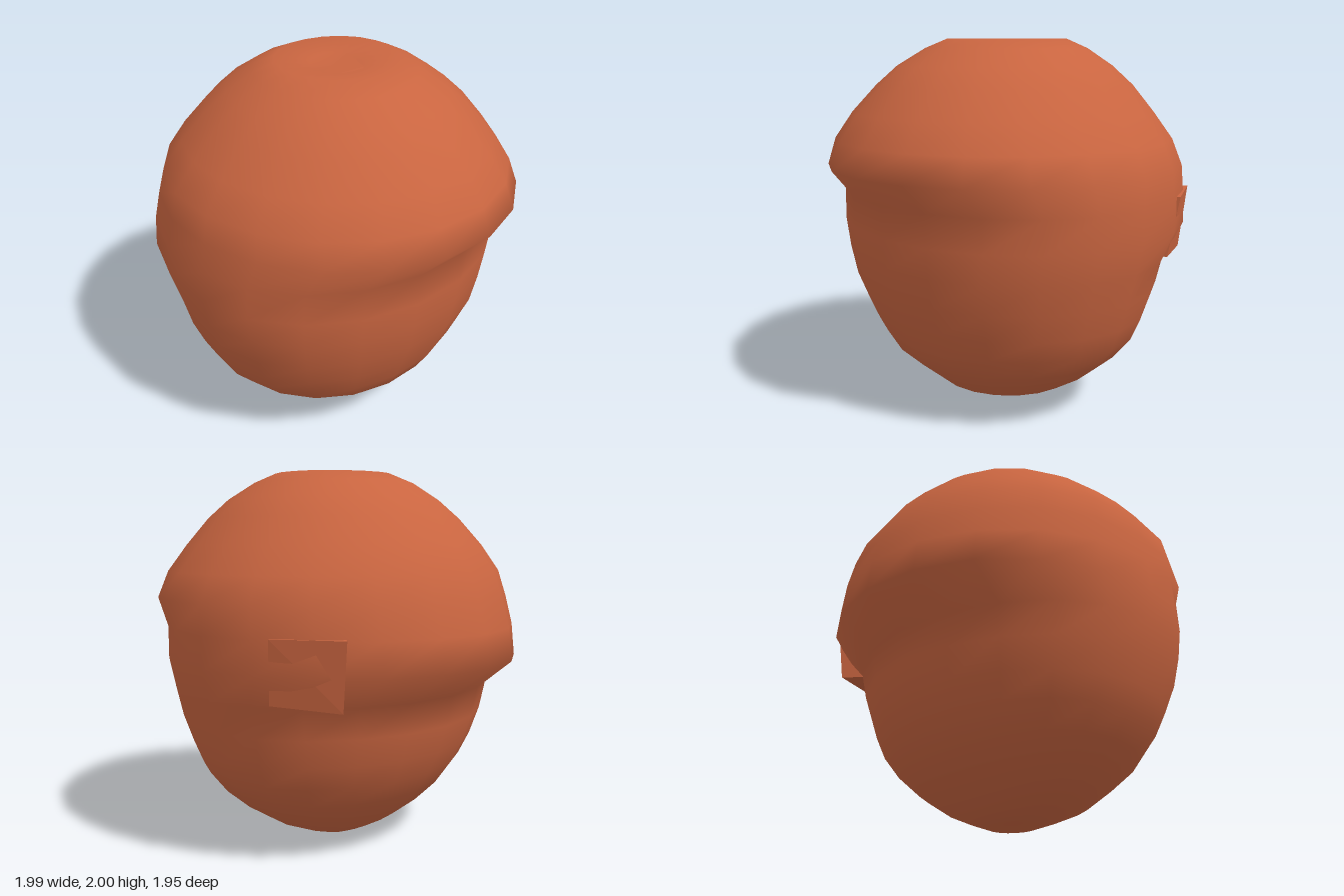
import * as THREE from 'three';
import { ConvexGeometry } from 'three/addons/geometries/ConvexGeometry.js';

// Cross-sections from bottom to top: [y, reach to +x, to -x, to +z, to -z].
// The overhanging rim sits higher on the +x side than on the -x side.
const SECTIONS = [
  [0.00, 0.13, 0.13, 0.15, 0.15],
  [0.04, 0.24, 0.22, 0.27, 0.26],
  [0.10, 0.38, 0.33, 0.42, 0.40],
  [0.20, 0.50, 0.46, 0.57, 0.56],
  [0.31, 0.62, 0.57, 0.70, 0.69],
  [0.43, 0.69, 0.65, 0.80, 0.79],
  [0.55, 0.74, 0.71, 0.86, 0.84],
  [0.70, 0.80, 0.76, 0.92, 0.89],
  [0.86, 0.83, 0.79, 0.96, 0.93],
  [1.02, 0.85, 1.00, 0.98, 0.97],
  [1.19, 0.85, 0.98, 0.97, 0.97],
  [1.34, 0.99, 0.94, 0.94, 0.97],
  [1.48, 0.94, 0.89, 0.91, 0.91],
  [1.62, 0.85, 0.80, 0.80, 0.80],
  [1.76, 0.72, 0.68, 0.67, 0.69],
  [1.86, 0.61, 0.57, 0.55, 0.58],
  [1.95, 0.45, 0.43, 0.42, 0.45],
  [2.00, 0.33, 0.31, 0.30, 0.34],
  [1.985, 0.13, 0.11, 0.14, 0.12],
];
const SIDES = 20;

// Point on a section made of four quarter ellipses
function sectionPoint([y, px, nx, pz, nz], angle) {
  const c = Math.cos(angle), s = Math.sin(angle);
  return new THREE.Vector3(c * (c > 0 ? px : nx), y, s * (s > 0 ? pz : nz));
}

function bodyGeometry() {
  const points = [], index = [];
  for (const section of SECTIONS) {
    for (let i = 0; i < SIDES; i++) points.push(sectionPoint(section, (i / SIDES) * Math.PI * 2));
  }
  const last = (SECTIONS.length - 1) * SIDES;
  const bottom = points.push(new THREE.Vector3(0, 0.03, 0)) - 1;
  const top = points.push(new THREE.Vector3(0, 1.96, 0)) - 1;
  for (let i = 0; i < SIDES; i++) {
    const n = (i + 1) % SIDES;
    for (let r = 0; r < last; r += SIDES) {
      index.push(r + i, r + SIDES + i, r + n, r + n, r + SIDES + i, r + SIDES + n);
    }
    index.push(bottom, i, n, top, last + n, last + i);
  }
  const geometry = new THREE.BufferGeometry().setFromPoints(points);
  geometry.setIndex(index);
  geometry.computeVertexNormals();
  return geometry;
}

export function createModel() {
  const group = new THREE.Group();
  group.name = 'roundShell';
  const clay = new THREE.MeshStandardMaterial({ color: 0xc96540 });
  clay.name = 'terracotta';

  const add = (name, geometry) => {
    const mesh = new THREE.Mesh(geometry, clay);
    mesh.name = name;
    group.add(mesh);
  };

  // Smooth shell with its stepped rim
  add('shell', bodyGeometry());

  // Square flap left standing out of the rim at the back
  const flap = [
    [-0.35, 0.88, -0.86], [-0.67, 0.86, -0.70],
    [-0.39, 1.20, -0.90], [-0.71, 1.20, -0.72],
  ].map((p) => new THREE.Vector3(...p));
  const inner = flap.map((p) => new THREE.Vector3(p.x * 0.8, p.y, p.z * 0.8));
  add('rimFlap', new ConvexGeometry([...flap, ...inner]));

  // Small broken shard around the dent on top
  const shard = [[-0.02, 1.985, -0.13], [0.18, 1.99, -0.02], [0.02, 1.975, -0.01],
    [0.27, 1.985, 0.18], [0.11, 1.99, 0.28], [0.12, 1.97, 0.08]].map((p) => new THREE.Vector3(...p));
  add('topShard', new ConvexGeometry(shard));
  return group;
}
